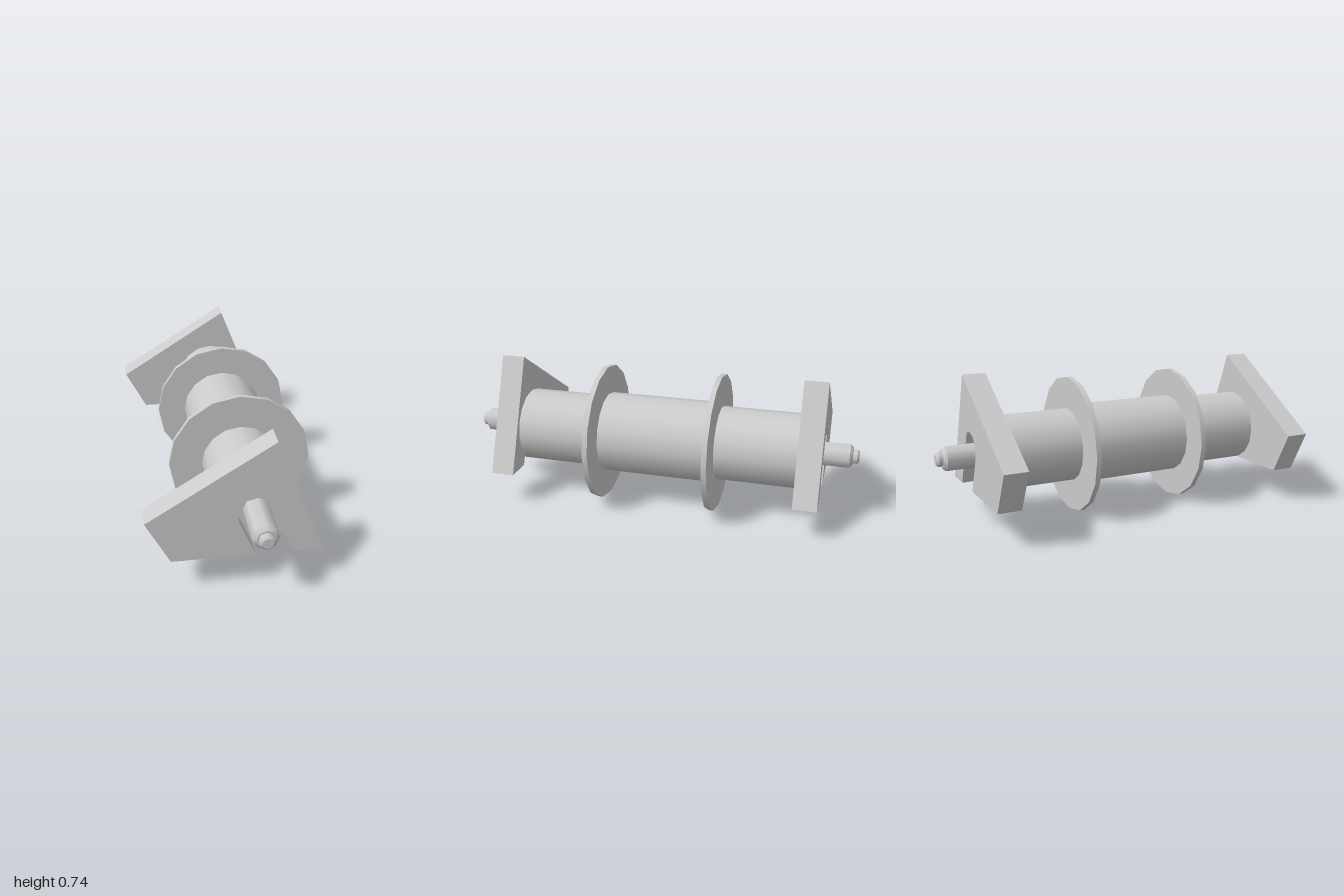
import * as THREE from 'three';

const AXIS_X = 0.077, AXIS_Y = 0.35;
const material = new THREE.MeshStandardMaterial({ color: 0xcccccc });

// Cylinder or cone along z between z0 and z1, on the roller axis
function roller(name, r0, r1, z0, z1, sides) {
  const geometry = new THREE.CylinderGeometry(r1, r0, z1 - z0, sides);
  geometry.rotateX(Math.PI / 2);
  const mesh = new THREE.Mesh(geometry, material);
  mesh.name = name;
  mesh.position.set(AXIS_X, AXIS_Y, (z0 + z1) / 2);
  return mesh;
}

// Slanted plate with an open slot that receives the shaft
function bracket(zBack) {
  const outline = [
    [-0.43, 0.382], [-0.32, 0.171], [0.061, 0.171], [-0.02, 0.357], [-0.02, 0.411],
    [0.014, 0.458], [0.065, 0.471], [0.112, 0.458], [0.234, 0.171], [0.369, 0.171], [0.143, 0.74],
  ].map(([x, y]) => new THREE.Vector2(x, y));
  const geometry = new THREE.ExtrudeGeometry(new THREE.Shape(outline), { depth: 0.117, bevelEnabled: false });
  const mesh = new THREE.Mesh(geometry, material);
  mesh.name = 'bracket';
  mesh.position.z = zBack;
  return mesh;
}

// Stepped, chamfered shaft end, drum and flange for the +z half
function rollerEnd() {
  const end = new THREE.Group();
  end.name = 'rollerEnd';
  end.add(
    roller('flange', 0.349, 0.349, 0.284, 0.31, 16),
    roller('outerDrum', 0.187, 0.187, 0.31, 0.738, 16),
    roller('shaft', 0.062, 0.062, 0.738, 0.955, 8),
    roller('shaftChamfer', 0.062, 0.045, 0.955, 0.97, 8),
    roller('shaftTip', 0.037, 0.037, 0.97, 0.99, 8),
    roller('tipChamfer', 0.037, 0.026, 0.99, 1, 8),
  );
  return end;
}

export function createModel() {
  const model = new THREE.Group();
  model.name = 'spool';
  model.add(roller('centreDrum', 0.205, 0.205, -0.284, 0.284, 16));

  // Turn the second end about the roller axis to face -z
  const front = rollerEnd();
  const back = rollerEnd();
  back.rotation.y = Math.PI;
  back.position.x = 2 * AXIS_X;
  model.add(front, back);

  model.add(bracket(0.715), bracket(-0.832));
  return model;
}
